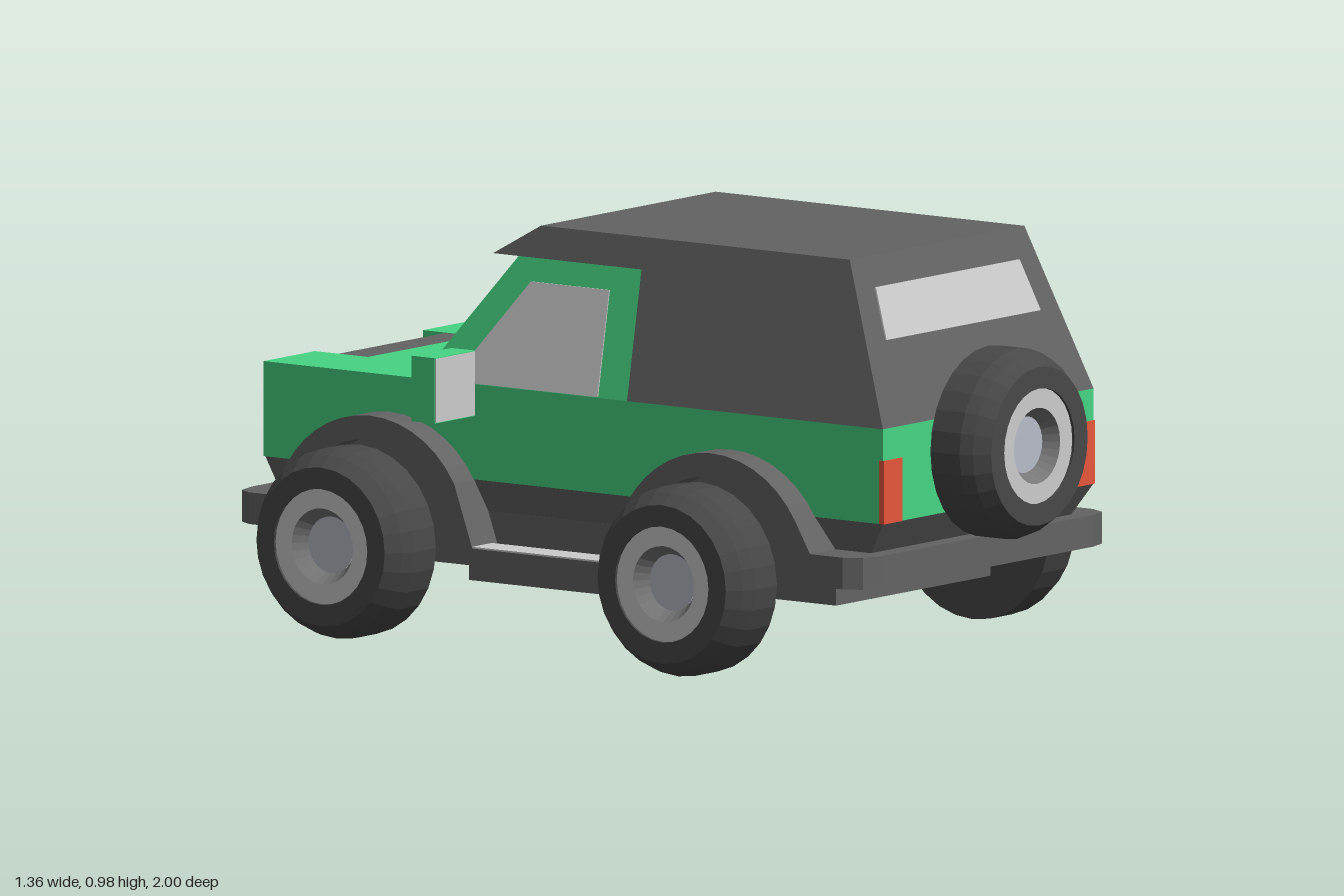
import * as THREE from 'three';

const mat = (color) => new THREE.MeshStandardMaterial({ color, flatShading: true });

export function createModel() {
  const root = new THREE.Group();
  const green = mat(0x46d583), dark = mat(0x636363), rubber = mat(0x484848), glass = mat(0xcccccc);
  const red = mat(0xe8573c), amber = mat(0xc98a35), hubMat = mat(0xb8bcc8), wellMat = mat(0x777777);

  const add = (name, geo, material, parent = root) => {
    const m = new THREE.Mesh(geo, material);
    m.name = name;
    parent.add(m);
    return m;
  };
  // box given by its limits
  const box = (name, m, x0, x1, y0, y1, z0, z1) =>
    add(name, new THREE.BoxGeometry(x1 - x0, y1 - y0, z1 - z0)
      .translate((x0 + x1) / 2, (y0 + y1) / 2, (z0 + z1) / 2), m);
  const shapeOf = (pts) => new THREE.Shape(pts.map(([a, b]) => new THREE.Vector2(a, b)));
  // side profile of (z, y) points, extruded across x
  const sideExtrude = (pts, x0, x1) =>
    new THREE.ExtrudeGeometry(shapeOf(pts), { depth: x1 - x0, bevelEnabled: false })
      .rotateY(-Math.PI / 2).translate(x1, 0, 0);
  // plan outline of (x, z) points, extruded up y
  const planExtrude = (pts, y0, y1) =>
    new THREE.ExtrudeGeometry(shapeOf(pts.map(([x, z]) => [x, -z])), { depth: y1 - y0, bevelEnabled: false })
      .rotateX(-Math.PI / 2).translate(0, y0, 0);
  // changes every vertex by a rule
  const reshape = (geo, rule) => {
    const p = geo.attributes.position, v = new THREE.Vector3();
    for (let i = 0; i < p.count; i++) {
      rule(v.fromBufferAttribute(p, i));
      p.setXYZ(i, v.x, v.y, v.z);
    }
    geo.computeVertexNormals();
    return geo;
  };
  const lean = (geo) => reshape(geo, (v) => { v.x *= 1 - 0.171 * (v.y - 0.605) / 0.38; });

  // lower body with a notch for the grille
  box('bodyTub', green, -0.41, 0.41, 0.38, 0.605, -0.81, 0.85);
  box('grille', dark, -0.21, 0.21, 0.38, 0.604, -0.9, -0.81);
  for (const s of [-1, 1]) {
    const side = s > 0 ? 'left' : 'right';
    box(side + 'HeadlightBox', green, Math.min(s * 0.21, s * 0.41), Math.max(s * 0.21, s * 0.41), 0.38, 0.605, -0.965, -0.81);
    add(side + 'Headlight', new THREE.CylinderGeometry(0.073, 0.073, 0.006, 24)
      .rotateX(Math.PI / 2).translate(s * 0.31, 0.495, -0.965), amber);
    box(side + 'TailLight', red, s * 0.375 - 0.036, s * 0.375 + 0.036, 0.38, 0.53, 0.84, 0.854);
    // door mirror with its glass facing the rear of the car
    box(side + 'Mirror', green, s * 0.487 - 0.078, s * 0.487 + 0.078, 0.53, 0.685, -0.415, -0.347);
    box(side + 'MirrorGlass', glass, s * 0.487 - 0.076, s * 0.487 + 0.076, 0.532, 0.683, -0.349, -0.345);
  }

  // tapered skirt below the body
  add('skirt', reshape(new THREE.BoxGeometry(0.82, 0.075, 1.81).translate(0, 0.3425, -0.055), (v) => {
    if (v.y < 0.34) {
      v.x *= 0.95;
      v.z = v.z > 0 ? 0.8 : -0.935;
    }
  }), dark);
  box('floorPlate', dark, -0.39, 0.39, 0.23, 0.306, -0.93, 0.8);
  box('chassis', dark, -0.3, 0.3, 0.155, 0.231, -0.81, 0.63);
  box('sills', dark, -0.488, 0.488, 0.155, 0.23, -0.305, 0.105);
  for (const s of [-1, 1])
    box('sillStep', glass, s * 0.448 - 0.039, s * 0.448 + 0.039, 0.228, 0.234, -0.305, 0.105);

  // bumpers with cut corners
  const bumper = (name, zIn, zCut, zOut) => add(name, planExtrude(
    [[-0.488, zIn], [-0.488, zCut], [-0.465, zOut - (zOut - zCut) * 0.25], [-0.41, zOut],
      [0.41, zOut], [0.465, zOut - (zOut - zCut) * 0.25], [0.488, zCut], [0.488, zIn]], 0.23, 0.305), dark);
  bumper('rearBumper', 0.69, 0.79, 0.848);
  bumper('frontBumper', -0.88, -0.95, -1);

  // cabin: hard top with visor, and the green door and windscreen frame
  add('hardTop', lean(sideExtrude(
    [[0.85, 0.605], [0.7, 0.985], [-0.205, 0.985], [-0.335, 0.91], [0.1, 0.91], [0.1, 0.605]], -0.41, 0.41)), dark);
  add('cabinFrame', lean(sideExtrude(
    [[0.1, 0.605], [0.1, 0.91], [-0.26, 0.91], [-0.51, 0.605]], -0.41, 0.41)), green);
  add('sideWindows', lean(sideExtrude(
    [[0.015, 0.607], [0.015, 0.855], [-0.215, 0.855], [-0.41, 0.615], [-0.41, 0.607]], -0.413, 0.413)), glass);

  // sloped panes, thin boxes sheared along the surface they lie on
  const pane = (name, y0, y1, w0, w1, zAt) => add(name, reshape(new THREE.BoxGeometry(2, 1, 0.008), (v) => {
    const t = v.y + 0.5;
    v.x *= w0 + (w1 - w0) * t;
    v.y = y0 + (y1 - y0) * t;
    v.z += zAt(v.y);
  }), glass);
  pane('windscreen', 0.612, 0.885, 0.335, 0.295, (y) => -0.51 + 0.25 * (y - 0.605) / 0.305);
  pane('rearWindow', 0.797, 0.915, 0.3, 0.28, (y) => 0.85 - 0.15 * (y - 0.605) / 0.38);

  // wheel built around y, outer face up, from y = 0 to 0.15
  const lathe = (pts) => new THREE.LatheGeometry(pts.map(([r, y]) => new THREE.Vector2(r, y)), 28);
  const makeWheel = (name) => {
    const g = new THREE.Group();
    g.name = name;
    add('tyre', lathe([[0, 0], [0.225, 0], [0.225, 0.085], [0.213, 0.115], [0.188, 0.15], [0.137, 0.15], [0.137, 0.14]]), rubber, g);
    add('rim', lathe([[0.138, 0.143], [0.09, 0.143]]), glass, g);
    add('rimWell', lathe([[0.09, 0.143], [0.066, 0.105]]), wellMat, g);
    add('hub', lathe([[0.067, 0.108], [0, 0.108]]), hubMat, g);
    root.add(g);
    return g;
  };
  const spare = makeWheel('spareWheel');
  spare.rotation.x = Math.PI / 2;
  spare.position.set(0, 0.53, 0.85);

  // wheels, arches and dark arch liners
  for (const [end, zc, d] of [['rear', 0.405, 1], ['front', -0.595, -1]]) {
    const arc = (r, a0, a1, n) => Array.from({ length: n + 1 }, (_, i) => {
      const a = (a0 + (a1 - a0) * i / n) * Math.PI / 180;
      return [r * Math.cos(a), r * Math.sin(a)];
    });
    const outline = [[0.29, 0], [0.29, 0.075], ...arc(0.288, 31, 149, 14), [-0.3, 0], ...arc(0.232, 180, 0, 18)];
    const arch = outline.map(([z, y]) => [zc + d * z, 0.23 + y]);
    const liner = arc(0.24, 0, 180, 16).map(([z, y]) => [zc + z, 0.23 + y]);
    for (const s of [-1, 1]) {
      const name = end + (s > 0 ? 'Left' : 'Right');
      const wheel = makeWheel(name + 'Wheel');
      wheel.rotation.z = -s * Math.PI / 2;
      wheel.position.set(s * 0.53, 0.23, zc);
      const span = s > 0 ? [0.385, 0.488] : [-0.488, -0.385];
      add(name + 'Arch', sideExtrude(arch, ...span), dark);
      add(name + 'ArchLiner', sideExtrude(liner, ...(s > 0 ? [0.38, 0.413] : [-0.413, -0.38])), dark);
    }
  }
  return root;
}
